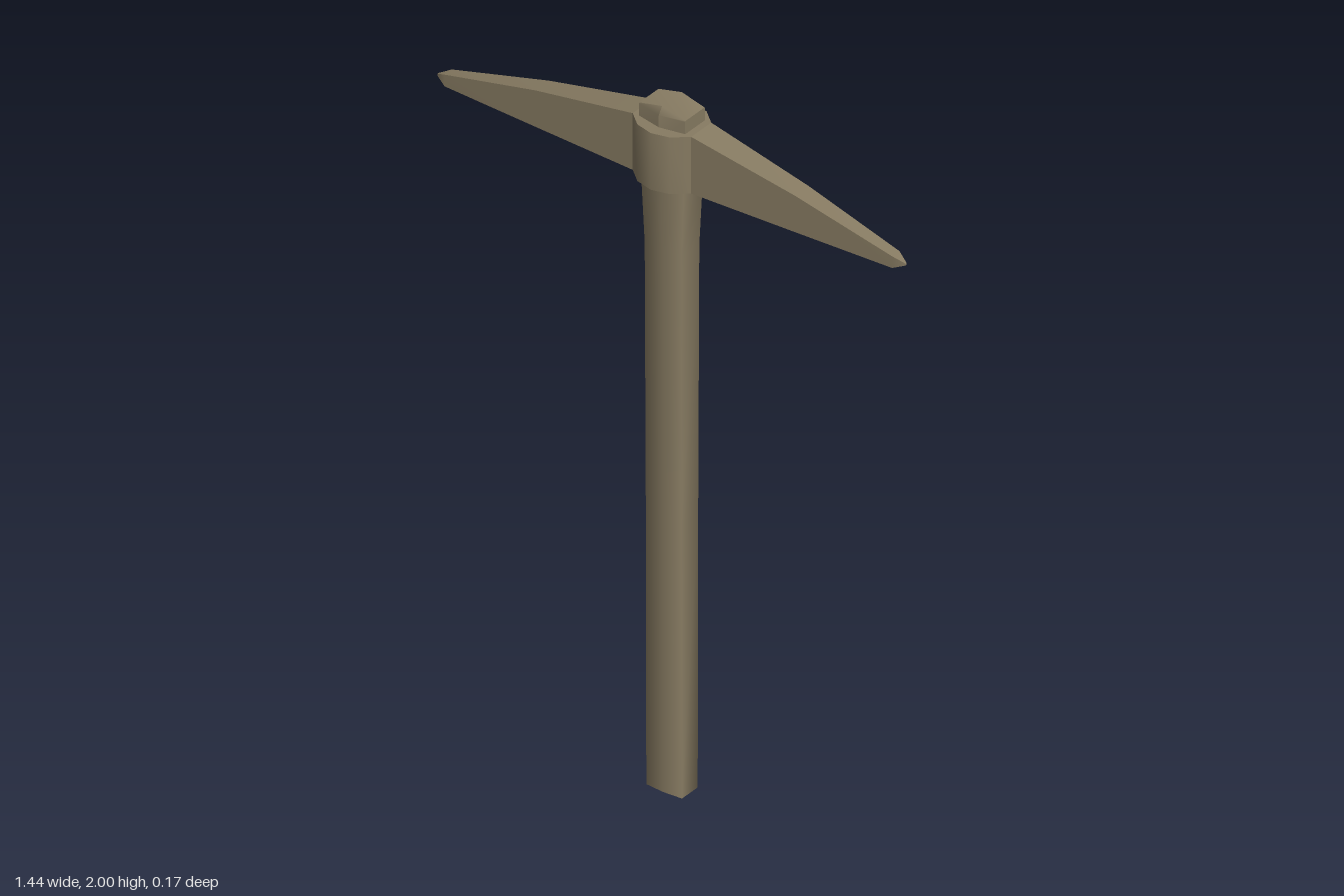
import * as THREE from 'three';

// Skins a series of rings (arrays of [x, y, z]) and caps both ends.
// With smooth = false, each side of the ring keeps a sharp edge to its neighbours.
function loft(rings, smooth) {
  const n = rings[0].length, pos = [], idx = [];
  const add = (p) => pos.push(...p) / 3 - 1;
  const quad = (a, a2, b, b2) => idx.push(a, a2, b, b, a2, b2);
  if (smooth) {
    const ids = rings.map((r) => r.map(add));
    for (let k = 0; k + 1 < rings.length; k++)
      for (let i = 0; i < n; i++) {
        const j = (i + 1) % n;
        quad(ids[k][i], ids[k + 1][i], ids[k][j], ids[k + 1][j]);
      }
  } else {
    for (let i = 0; i < n; i++) {
      const ids = rings.map((r) => [add(r[i]), add(r[(i + 1) % n])]);
      for (let k = 0; k + 1 < rings.length; k++)
        quad(ids[k][0], ids[k + 1][0], ids[k][1], ids[k + 1][1]);
    }
  }
  const start = rings[0].map(add), end = rings[rings.length - 1].map(add);
  for (let i = 1; i < n - 1; i++)
    idx.push(start[0], start[i], start[i + 1], end[0], end[i + 1], end[i]);
  const g = new THREE.BufferGeometry();
  g.setAttribute('position', new THREE.Float32BufferAttribute(pos, 3));
  g.setIndex(idx);
  g.computeVertexNormals();
  return g;
}

// Six-sided shaft section: half width, half depth at the sides, half depth at the middle
const shaftRing = (y, w, side, mid, rise = 0) => [
  [w, y, side], [0, y + rise, mid], [-w, y, side],
  [-w, y, -side], [0, y + rise, -mid], [w, y, -side],
];

// Four-cornered head section at x
const headRing = ([x, top, bottom, z]) => [
  [x, top, z], [x, top, -z], [x, bottom, -z], [x, bottom, z],
];

export function createModel() {
  const model = new THREE.Group();
  model.name = 'pickaxe';
  const brown = new THREE.MeshStandardMaterial({ color: 0x877b62 });
  brown.name = 'dull brown';

  const part = (name, geometry) => {
    const mesh = new THREE.Mesh(geometry, brown);
    mesh.name = name;
    model.add(mesh);
  };

  // Shaft, flaring out below the head
  part('handle', loft([
    shaftRing(0, 0.055, 0.032, 0.036),
    shaftRing(0.8, 0.055, 0.034, 0.038),
    shaftRing(1.58, 0.057, 0.036, 0.041),
    shaftRing(1.78, 0.066, 0.039, 0.046),
    shaftRing(1.92, 0.07, 0.04, 0.05),
  ], true));

  // Handle end above the head, with a ridged top
  part('handleEnd', loft([
    shaftRing(1.9, 0.071, 0.04, 0.054),
    shaftRing(1.98, 0.071, 0.04, 0.054),
    shaftRing(1.983, 0.071, 0.039, 0.04, 0.017),
  ], false));

  // Rounded eye around the handle
  const eye = [[0.09, 0.041], [0.05, 0.075], [0, 0.087]];
  const eyeStations = [
    ...eye.map(([x, z]) => [-x, 1.945, 1.78, z]),
    ...eye.slice(0, 2).reverse().map(([x, z]) => [x, 1.945, 1.78, z]),
  ];
  part('headEye', loft(eyeStations.map(headRing), false));

  // Two tapering arms ending in blunt points
  const arm = [
    [0.09, 1.945, 1.78, 0.041],
    [0.4, 1.886, 1.78, 0.028],
    [0.69, 1.814, 1.78, 0.015],
    [0.722, 1.798, 1.793, 0.002],
  ];
  part('leftArm', loft(arm.map(headRing), false));
  part('rightArm', loft(arm.map(([x, ...r]) => headRing([-x, ...r])).reverse(), false));

  return model;
}
